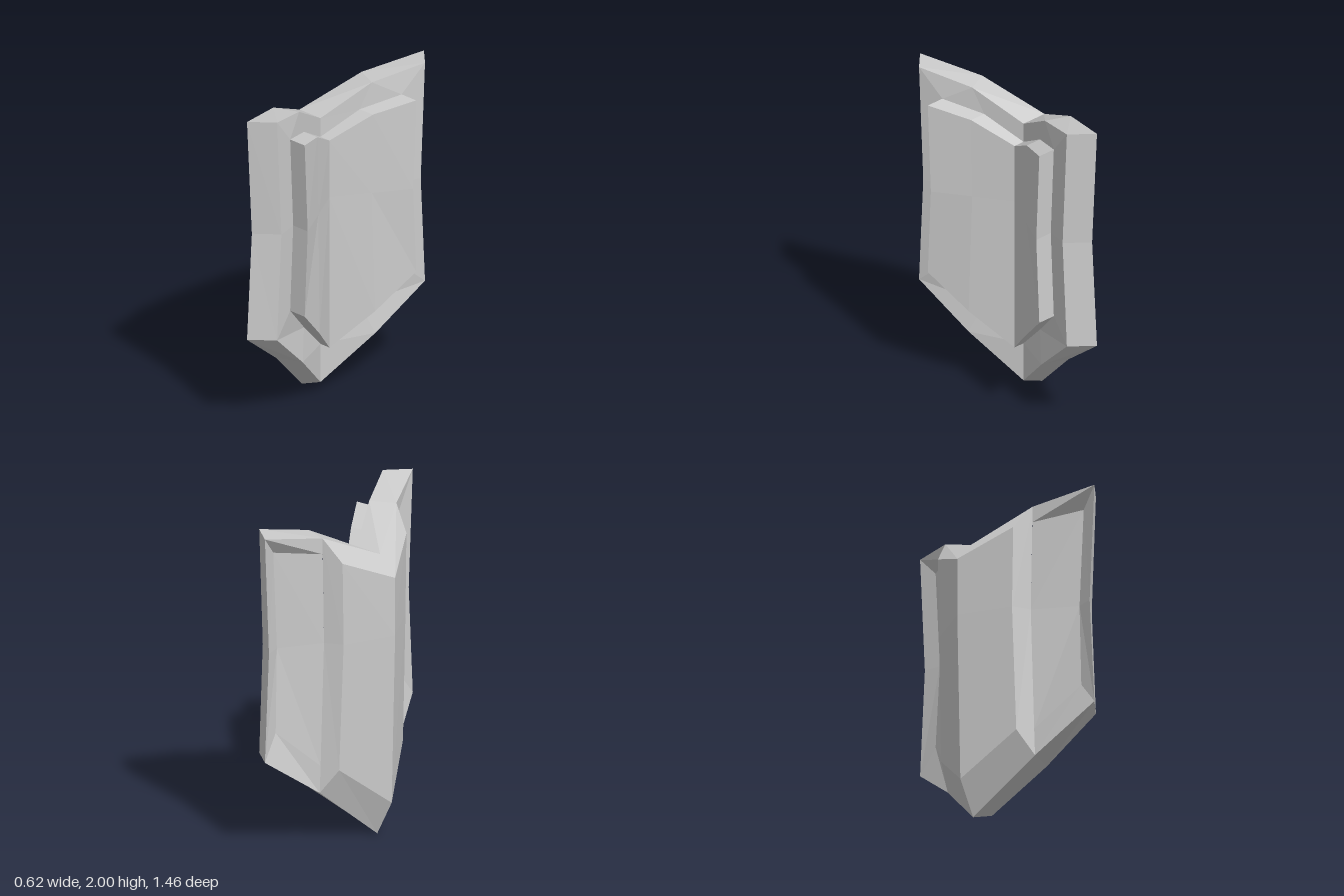
import * as THREE from 'three';

const material = new THREE.MeshStandardMaterial({ color: 0xcccccc, flatShading: true });

// Builds quads between pairs of point lines [x, y, z] and mirrors them across z = 0.
function mirroredMesh(name, strips) {
  const pos = [];
  const tri = (a, b, c) => {
    pos.push(...a, ...b, ...c);
    for (const [x, y, z] of [a, c, b]) pos.push(x, y, -z);
  };
  for (const [p, q] of strips) {
    for (let i = 0; i < p.length - 1; i++) {
      tri(p[i], p[i + 1], q[i + 1]);
      tri(p[i], q[i + 1], q[i]);
    }
  }
  const geometry = new THREE.BufferGeometry();
  geometry.setAttribute('position', new THREE.Float32BufferAttribute(pos, 3));
  geometry.computeVertexNormals();
  const mesh = new THREE.Mesh(geometry, material);
  mesh.name = name;
  return mesh;
}

// Border of a half face given as top, middle and bottom rows running outwards
const border = ([top, middle, bottom]) => [...top, middle[middle.length - 1], ...[...bottom].reverse()];
// Filled face, towards the hollow (+x) or the convex side (-x)
const hollowFace = ([t, m, b]) => [[t, m], [m, b]];
const convexFace = ([t, m, b]) => [[m, t], [b, m]];

export function createModel() {
  const group = new THREE.Group();
  group.name = 'foldedShield';

  // Rims of the main plate: fold, middle, wing edge
  const outerRim = [
    [[-0.2, 1.755, 0], [-0.05, 1.93, 0.365], [0.1, 2, 0.73]],
    [[-0.2, 1.27, 0], [-0.05, 1.27, 0.35], [0.1, 1.27, 0.69]],
    [[-0.18, 0, 0], [-0.03, 0.33, 0.365], [0.1, 0.6, 0.73]],
  ];
  const innerRim = [
    [[-0.025, 1.755, 0], [0.1, 1.93, 0.3], [0.23, 2, 0.61]],
    [[-0.025, 1.27, 0], [0.1, 1.27, 0.29], [0.23, 1.27, 0.575]],
    [[-0.025, 0.06, 0], [0.13, 0.33, 0.3], [0.23, 0.6, 0.61]],
  ];

  // Raised panel in the hollow
  const panelFace = [
    [[0.05, 1.635, 0], [0.18, 1.77, 0.23], [0.308, 1.83, 0.46]],
    [[0.05, 1.27, 0], [0.18, 1.27, 0.22], [0.308, 1.27, 0.435]],
    [[0.05, 0.305, 0], [0.2, 0.515, 0.23], [0.308, 0.73, 0.46]],
  ];
  const baseX = [-0.025, 0.07, 0.187];
  const panelBase = panelFace.map((row) => row.map(([, y, z], i) => [baseX[i], y, z]));

  // Sunken floor of each wing on the convex side
  const wingFloor = [
    [[-0.05, 1.83, 0.363], [0.12, 1.88, 0.62]],
    [[-0.05, 1.27, 0.35], [0.12, 1.27, 0.585]],
    [[-0.035, 0.5, 0.363], [0.11, 0.75, 0.61]],
  ];
  const wingRim = outerRim.map((row) => row.slice(1));

  group.add(mirroredMesh('mainPlate', [
    [border(outerRim), border(innerRim)],
    [border(innerRim), border(panelBase)],
    [border(wingFloor), border(wingRim)],
    ...convexFace(wingFloor),
  ]));

  group.add(mirroredMesh('innerPanel', [
    [border(panelBase), border(panelFace)],
    ...hollowFace(panelFace),
  ]));

  // Bevelled ridge along the convex fold: crest, shoulder, foot on the plate
  const ridge = [
    [[-0.31, 1.63, 0], [-0.16, 1.78, 0.315]],
    [[-0.31, 1.27, 0], [-0.16, 1.27, 0.305]],
    [[-0.285, 0.215, 0], [-0.135, 0.48, 0.315]],
  ];
  const ridgeWithFoot = ridge.map((row, i) => [...row, outerRim[i][1]]);
  group.add(mirroredMesh('outerRidge', [
    ...convexFace(ridgeWithFoot),
    [ridge[0], outerRim[0].slice(0, 2)],
    [outerRim[2].slice(0, 2), ridge[2]],
  ]));

  return group;
}
